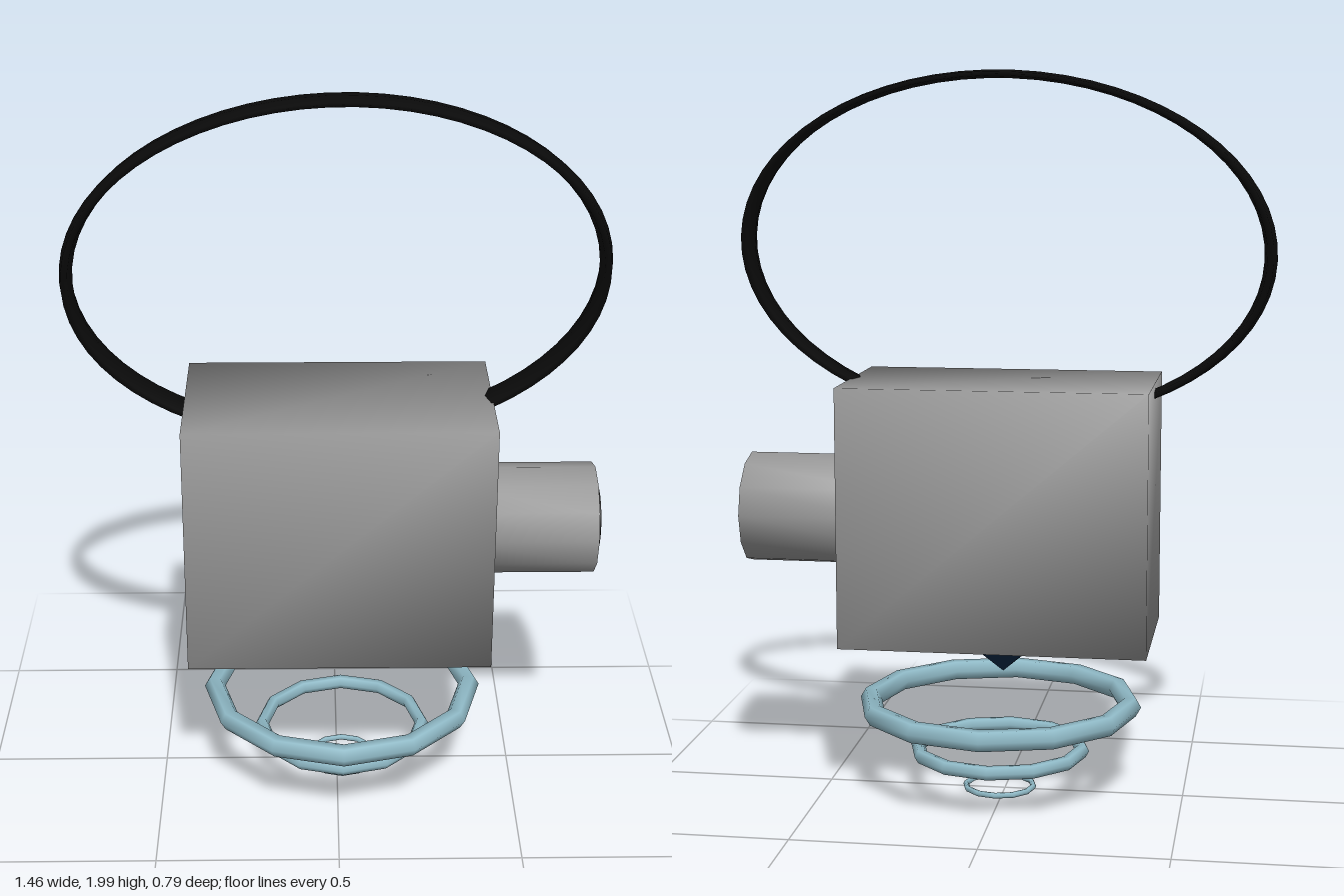
import * as THREE from 'three';
import { mergeVertices } from 'three/addons/utils/BufferGeometryUtils.js';

// Share corners so the shading runs smoothly over the edges
function soften(geometry) {
  geometry.deleteAttribute('normal');
  geometry.deleteAttribute('uv');
  const merged = mergeVertices(geometry, 1e-4);
  merged.computeVertexNormals();
  return merged;
}

function material(name, color) {
  const m = new THREE.MeshStandardMaterial({ color });
  m.name = name;
  return m;
}

export function createModel() {
  const group = new THREE.Group();
  const grey = material('grey casing', 0x999999);
  const black = material('black', 0x0a0a0a);
  const navy = material('navy', 0x0f2c4c);
  const blue = material('pale blue', 0x8fb9c6);

  function add(name, geometry, mat, x, y, z) {
    const mesh = new THREE.Mesh(geometry, mat);
    mesh.name = name;
    mesh.position.set(x, y, z);
    group.add(mesh);
    return mesh;
  }

  // Casing
  add('body', soften(new THREE.BoxGeometry(0.835, 0.71, 0.485)), grey, 0.005, 0.81, -0.003);

  // Side barrel with its dark lens
  const barrel = new THREE.CylinderGeometry(0.154, 0.154, 0.4, 12).rotateZ(-Math.PI / 2);
  add('barrel', soften(barrel), grey, 0.515, 0.795, -0.003);
  const lens = new THREE.CylinderGeometry(0.096, 0.096, 0.03, 12).rotateZ(-Math.PI / 2);
  add('lens', lens, black, 0.711, 0.798, 0);

  // Oval carrying strap, slightly tilted, sunk into the casing
  const strap = add('strap', new THREE.TorusGeometry(1, 0.0245, 6, 64), black, -0.002, 1.524, -0.003);
  strap.scale.set(0.714, 0.464, 2.38);
  strap.rotation.z = 0.04;

  // Pointed nozzle underneath
  const cone = new THREE.ConeGeometry(0.19, 0.16, 12).rotateX(Math.PI);
  add('nozzle', cone, navy, 0.005, 0.425, 0);

  // Floating rings, shrinking downwards: height, outer radius, tube radius
  const rings = [[0.254, 0.397, 0.03], [0.122, 0.253, 0.02], [0.0125, 0.104, 0.008]];
  rings.forEach(([y, outer, tube], i) => {
    const ring = new THREE.TorusGeometry(outer - tube, tube, 6, 12).rotateX(Math.PI / 2);
    add('pulseRing' + (i + 1), ring, blue, 0.015, y, 0);
  });

  // Stand the model on the ground
  group.position.y = -new THREE.Box3().setFromObject(group, true).min.y;
  return group;
}
